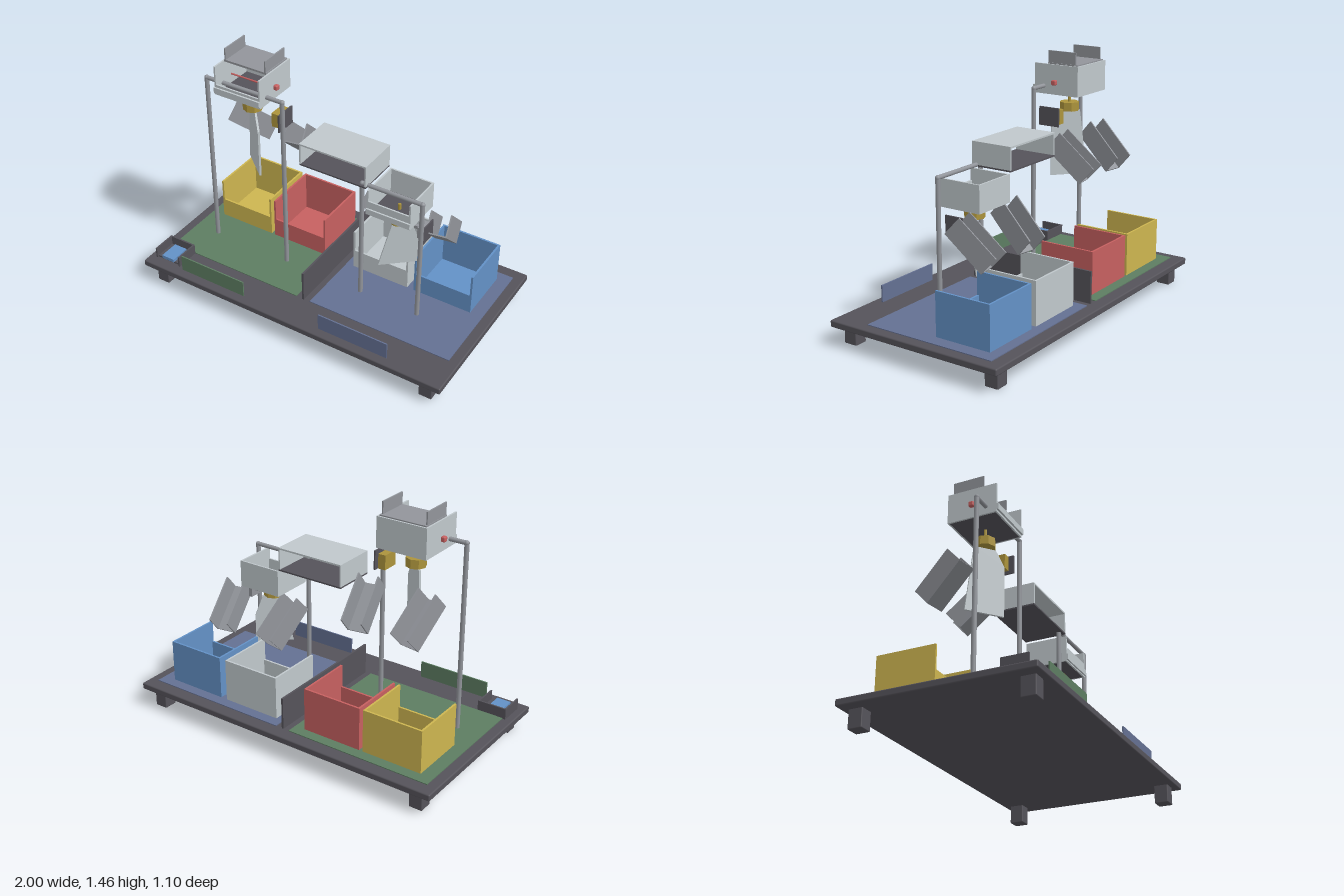
import * as THREE from 'three';
import { RoundedBoxGeometry } from 'three/addons/geometries/RoundedBoxGeometry.js';

const paint = (name, color) => {
  const m = new THREE.MeshStandardMaterial({ color });
  m.name = name;
  return m;
};

export function createModel() {
  const dark = paint('charcoal', 0x55535a);
  const mid = paint('steel grey', 0x92959b);
  const light = paint('light grey', 0xc0c8cc);
  const yellow = paint('yellow', 0xcdb550);
  const brass = paint('brass', 0xac943c);
  const red = paint('red', 0xc66060);
  const blue = paint('blue', 0x6391c6);
  const green = paint('mat green', 0x5d7d62);
  const slate = paint('mat blue', 0x647092);

  const model = new THREE.Group();
  model.name = 'sortingStation';

  const group = (name, parent = model) => {
    const g = new THREE.Group();
    g.name = name;
    parent.add(g);
    return g;
  };
  const add = (parent, name, geometry, material) => {
    const mesh = new THREE.Mesh(geometry, material);
    mesh.name = name;
    parent.add(mesh);
    return mesh;
  };
  // Box given by its limits on each axis
  const box = (parent, name, material, [x0, x1], [y0, y1], [z0, z1]) => {
    const mesh = add(parent, name, new THREE.BoxGeometry(x1 - x0, y1 - y0, z1 - z0), material);
    mesh.position.set((x0 + x1) / 2, (y0 + y1) / 2, (z0 + z1) / 2);
    return mesh;
  };
  // Round rod between two points
  const rod = (parent, name, material, a, b, r, sides = 12) => {
    const p = new THREE.Vector3(...a), q = new THREE.Vector3(...b);
    const mesh = add(parent, name, new THREE.CylinderGeometry(r, r, p.distanceTo(q), sides), material);
    mesh.position.copy(p).lerp(q, 0.5);
    mesh.quaternion.setFromUnitVectors(new THREE.Vector3(0, 1, 0), q.sub(p).normalize());
    return mesh;
  };
  // Open container with a low front wall
  const bin = (parent, name, material, floorMaterial, [x0, x1], [y0, y1], [z0, z1], frontTop, t = 0.012) => {
    const g = group(name, parent);
    box(g, 'floor', floorMaterial, [x0 + t, x1 - t], [y0, y0 + t], [z0 + t, z1 - t]);
    box(g, 'leftWall', material, [x1 - t, x1], [y0, y1], [z0, z1]);
    box(g, 'rightWall', material, [x0, x0 + t], [y0, y1], [z0, z1]);
    box(g, 'backWall', material, [x0 + t, x1 - t], [y0, y1], [z0, z0 + t]);
    if (frontTop > y0) box(g, 'frontWall', material, [x0 + t, x1 - t], [y0, frontTop], [z1 - t, z1]);
    return g;
  };

  // Base board, feet, mats and divider
  const deck = 0.145;
  add(model, 'baseBoard', new RoundedBoxGeometry(2, 0.04, 1.1, 2, 0.008), dark).position.y = 0.125;
  for (const x of [-0.895, 0.895])
    for (const z of [-0.47, 0.47])
      add(model, 'foot', new RoundedBoxGeometry(0.08, 0.11, 0.082, 1, 0.005), dark).position.set(x, 0.055, z);
  box(model, 'greenMat', green, [-0.94, -0.045], [deck, 0.15], [-0.475, 0.335]);
  box(model, 'blueMat', slate, [0.045, 0.94], [deck, 0.15], [-0.475, 0.335]);
  box(model, 'divider', dark, [-0.006, 0.006], [deck, 0.335], [-0.472, 0.337]);

  // Four collecting bins
  [['yellowBin', yellow, -0.863], ['redBin', red, -0.474], ['greyBin', light, 0.09], ['blueBin', blue, 0.498]]
    .forEach(([name, m, x]) => bin(model, name, m, m, [x, x + 0.366], [deck, 0.405], [-0.413, -0.068], 0.27));

  // Front plates and the small card tray
  box(model, 'greenPlate', green, [-0.75, -0.305], [deck, 0.245], [0.489, 0.497]);
  box(model, 'bluePlate', slate, [0.205, 0.645], [deck, 0.245], [0.489, 0.497]);
  bin(model, 'cardTray', dark, dark, [-0.957, -0.78], [deck, 0.21], [0.335, 0.485], 0, 0.01);
  box(model, 'card', blue, [-0.912, -0.827], [0.155, 0.175], [0.36, 0.483]);

  // Portal frame of two posts and a crossbar
  const frame = (parent, x0, x1, y, z) => {
    for (const x of [x0, x1]) {
      rod(parent, 'post', mid, [x, deck, z], [x, y, z], 0.0135);
      add(parent, 'frameCorner', new THREE.SphereGeometry(0.0145, 12, 8), mid).position.set(x, y, z);
    }
    rod(parent, 'crossbar', mid, [x0, y, z], [x1, y, z], 0.0125);
  };

  // Sloping U-shaped chute, falling towards the back
  const chute = (parent, x, y, z, yaw) => {
    const g = group('chute', parent);
    const w = 0.115, h = 0.129, l = 0.285, t = 0.008;
    box(g, 'chuteFloor', mid, [-w / 2, w / 2], [-h / 2, -h / 2 + t], [-l / 2, l / 2]);
    for (const s of [-1, 1])
      box(g, 'chuteWall', mid, [s * w / 2 - t / 2, s * w / 2 + t / 2], [-h / 2, h / 2], [-l / 2, l / 2]);
    g.position.set(x, y, z);
    g.rotation.set(-0.735, yaw, 0, 'YXZ');
  };

  // Shaft, hub and turned paddle
  const paddle = (parent, x, z, hubY, drop, yaw, outline) => {
    const g = group('paddleUnit', parent);
    g.position.set(x, hubY, z);
    rod(g, 'shaft', brass, [0, 0, 0], [0, 0.09, 0], 0.009);
    const hub = new THREE.CylinderGeometry(0.058, 0.058, 0.052, 8).toNonIndexed();
    hub.computeVertexNormals();
    add(g, 'hub', hub, brass);
    const [topL, topR, kink] = outline;
    const shape = new THREE.Shape([[topL, -0.027], [-0.112, -drop], [0.112, -drop], [0.112, -kink], [topR, -0.027]]
      .map(p => new THREE.Vector2(...p)));
    const geo = new THREE.ExtrudeGeometry(shape, { depth: 0.012, bevelEnabled: false });
    geo.translate(0, 0, -0.006);
    add(g, 'paddle', geo, light).rotation.y = yaw;
  };

  // Left-hand machine in the front view: tall frame with a covered hopper
  const tall = group('tallMachine');
  frame(tall, -0.783, -0.272, 1.253, 0.1);
  bin(tall, 'hopper', light, dark, [-0.68, -0.375], [1.207, 1.383], [-0.132, 0.163], 1.27, 0.01);
  box(tall, 'hopperLip', light, [-0.68, -0.375], [1.22, 1.255], [0.163, 0.174]);
  box(tall, 'hopperLid', mid, [-0.669, -0.386], [1.378, 1.39], [-0.122, 0.078]);
  for (const x of [-0.662, -0.395])
    box(tall, 'lidFin', mid, [x - 0.004, x + 0.004], [1.385, 1.46], [-0.107, 0.078]);
  for (const x of [-0.692, -0.363])
    add(tall, 'knob', new RoundedBoxGeometry(0.026, 0.03, 0.03, 2, 0.007), red).position.set(x, 1.28, 0.02);
  rod(tall, 'axle', red, [-0.68, 1.272, 0.02], [-0.375, 1.272, 0.02], 0.005, 8);
  paddle(tall, -0.53, 0.02, 1.118, 0.418, -0.7, [-0.065, 0.06, 0.12]);
  chute(tall, -0.658, 0.877, -0.152, -0.16);
  chute(tall, -0.312, 0.877, -0.152, 0.16);
  box(tall, 'sensor', brass, [-0.375, -0.33], [1.045, 1.13], [-0.04, 0.06]);
  box(tall, 'sensorPlate', dark, [-0.316, -0.307], [1.035, 1.145], [-0.048, 0.085]);

  // Right-hand machine in the front view: low frame with an open hopper
  const low = group('lowMachine');
  frame(low, 0.243, 0.614, 0.917, 0.103);
  bin(low, 'hopper', light, dark, [0.288, 0.56], [0.742, 0.9], [-0.127, 0.13], 0.83, 0.01);
  box(low, 'hopperLip', light, [0.288, 0.56], [0.75, 0.785], [0.13, 0.14]);
  paddle(low, 0.425, 0.005, 0.698, 0.323, 0.72, [-0.035, 0.065, 0.155]);
  chute(low, 0.246, 0.609, -0.149, -0.16);
  chute(low, 0.626, 0.609, -0.149, 0.16);
  box(low, 'sensor', mid, [0.56, 0.597], [0.635, 0.705], [-0.035, 0.045]);
  box(low, 'sensorArm', mid, [0.524, 0.56], [0.668, 0.688], [-0.005, 0.015]);
  box(low, 'sensorPlate', dark, [0.6, 0.608], [0.615, 0.72], [-0.05, 0.063]);

  // Sleeve beside the low hopper, open at front and back
  const sleeve = group('feedSleeve');
  const z = [-0.127, 0.13];
  box(sleeve, 'sleeveTop', light, [-0.147, 0.28], [1.037, 1.047], z);
  box(sleeve, 'sleeveFloor', dark, [-0.147, 0.28], [0.907, 0.916], z);
  box(sleeve, 'sleeveSide', light, [-0.147, -0.138], [0.916, 1.037], z);
  box(sleeve, 'sleeveSide', light, [0.271, 0.28], [0.916, 1.037], z);

  return model;
}
